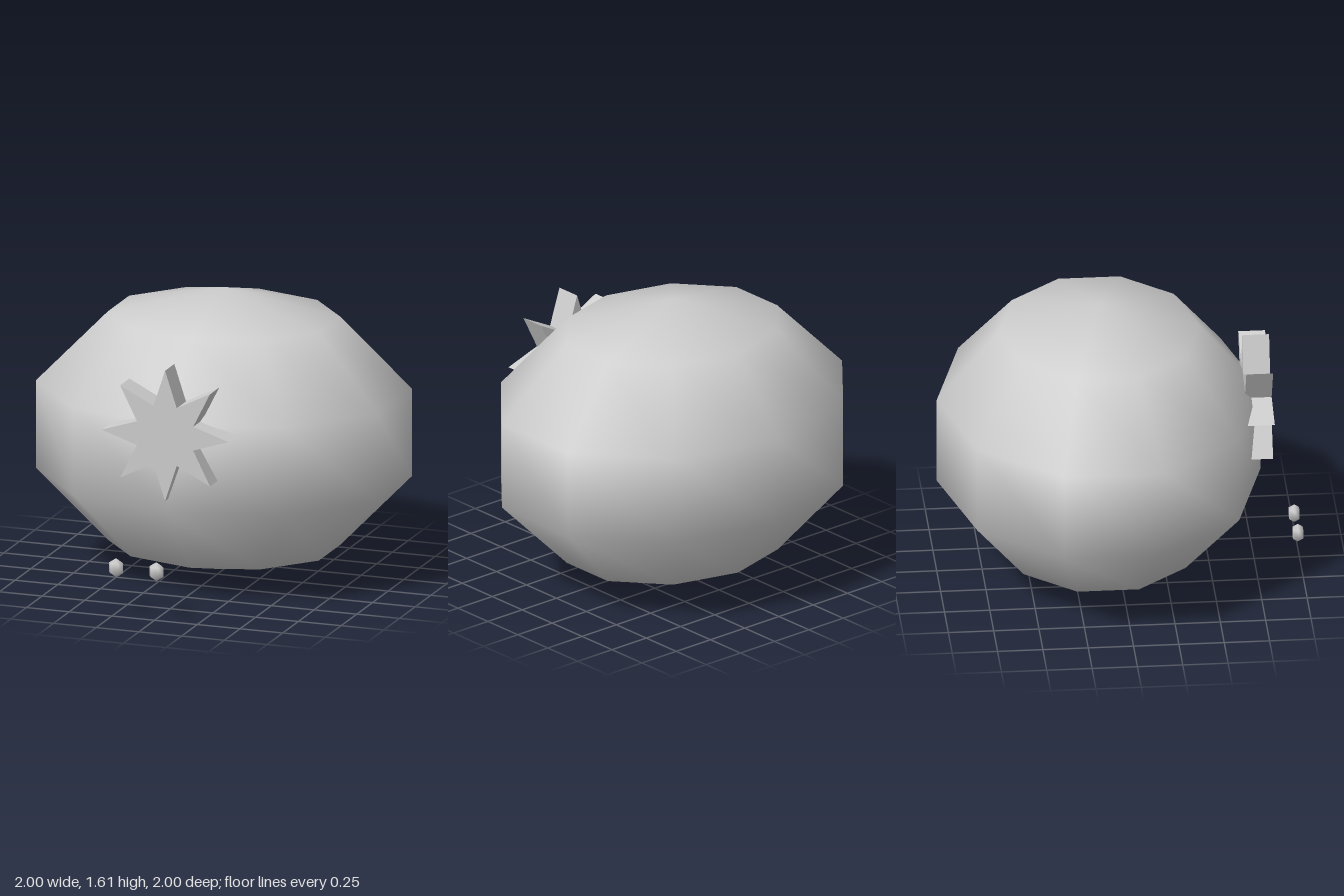
import * as THREE from 'three';

export function createModel() {
  const model = new THREE.Group();
  const grey = new THREE.MeshStandardMaterial({ color: 0xcccccc });
  grey.name = 'light grey';

  function add(name, geometry, x, y, z) {
    const mesh = new THREE.Mesh(geometry, grey);
    mesh.name = name;
    mesh.position.set(x, y, z);
    model.add(mesh);
  }

  // Coarse smooth-shaded ellipsoid
  function ellipsoid(segments, rings, phiStart, rx, ry, rz) {
    return new THREE.SphereGeometry(1, segments, rings, phiStart).scale(rx, ry, rz);
  }

  // Main body, with a column of vertices facing front
  add('body', ellipsoid(10, 5, Math.PI / 2, 1.1056, 0.805, 0.939), 0, 0.805, -0.107);

  // Eight-pointed star set into the front of the body
  const star = new THREE.Shape();
  for (let i = 0; i < 16; i++) {
    const r = i % 2 ? 0.178 : 0.372;
    const a = (i * Math.PI) / 8;
    star[i ? 'lineTo' : 'moveTo'](r * Math.cos(a), r * Math.sin(a));
  }
  star.closePath();
  add('star', new THREE.ExtrudeGeometry(star, { depth: 0.148, bevelEnabled: false }), 0, 1.008, 0.685);

  // Two small beads floating before the body
  for (const [name, x] of [['rightBead', -0.236], ['middleBead', 0]]) {
    add(name, ellipsoid(6, 3, 0, 0.048, 0.054, 0.038), x, 0.27, 0.971);
  }

  return model;
}
